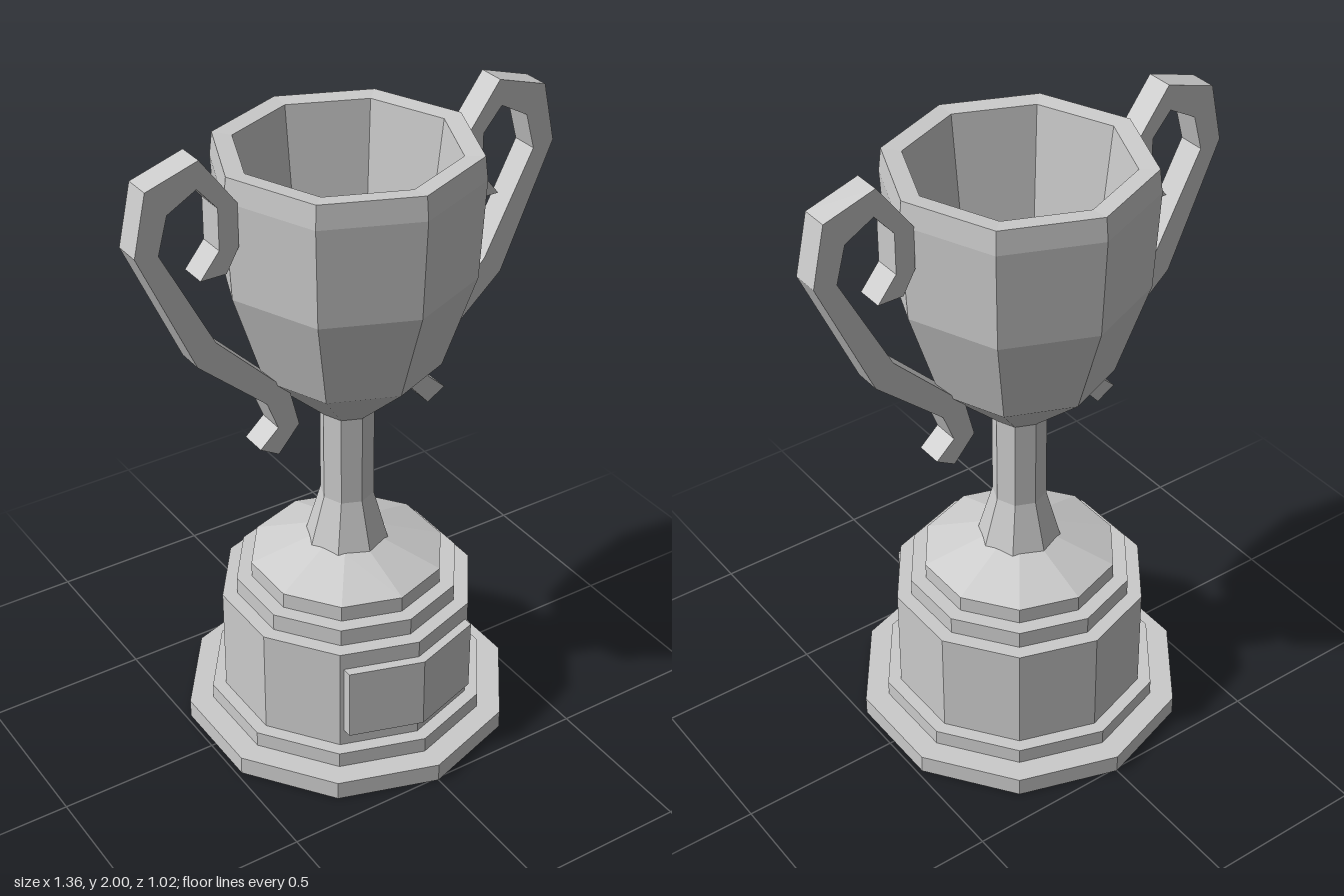
import * as THREE from 'three';

export function createModel() {
  const trophy = new THREE.Group();
  trophy.name = 'trophy';
  const metal = new THREE.MeshStandardMaterial({ color: 0xcccccc, flatShading: true });

  const add = (name, geometry, parent = trophy) => {
    const mesh = new THREE.Mesh(geometry, metal);
    mesh.name = name;
    parent.add(mesh);
    return mesh;
  };
  const lathe = (points, sides) =>
    new THREE.LatheGeometry(points.map(([r, y]) => new THREE.Vector2(r, y)), sides);
  const outline = (points) => new THREE.Shape(points.map(([x, y]) => new THREE.Vector2(x, y)));

  // Ten-sided stepped plinth: name, radius, bottom, top
  const tiers = [
    ['footPlate', 0.51, 0, 0.06],
    ['footTrim', 0.435, 0.06, 0.11],
    ['plinthBody', 0.393, 0.11, 0.455],
    ['plinthStep', 0.347, 0.455, 0.51],
  ];
  for (const [name, radius, bottom, top] of tiers) {
    const tier = add(name, new THREE.CylinderGeometry(radius, radius, top - bottom, 10));
    tier.position.y = (bottom + top) / 2;
  }
  add('plinthCap', lathe([[0, 0.51], [0.3, 0.51], [0.3, 0.56], [0.12, 0.625], [0, 0.625]], 10));

  // Plaque folded around the front corner of the plinth
  const fold = 0.22 * Math.tan(Math.PI / 10);
  const plaque = new THREE.ExtrudeGeometry(
    outline([[-0.22, 0.423 - fold], [-0.22, 0.38 - fold], [0, 0.38], [0.22, 0.38 - fold], [0.22, 0.423 - fold], [0, 0.423]]),
    { depth: 0.235, bevelEnabled: false });
  plaque.rotateX(Math.PI / 2); // outline lies flat, thickness runs down
  plaque.translate(0, 0.4, 0);
  add('plaque', plaque);

  // Flared stem
  add('stem', lathe([[0, 0.61], [0.13, 0.61], [0.082, 0.78], [0.082, 1.08], [0, 1.08]], 8));

  // Hollow eight-sided bowl: outside, rim, then inside
  add('bowl', lathe([
    [0, 1.07], [0.08, 1.07], [0.277, 1.25], [0.372, 1.54], [0.388, 1.84], [0.38, 1.91],
    [0.322, 1.905], [0.28, 1.55], [0.13, 1.3], [0, 1.24],
  ], 8));

  // Scrolled handles, mirrored by half a turn
  const handleOutline = outline([
    [0.49, 1.65], [0.41, 1.65], [0.37, 1.72], [0.37, 1.85], [0.48, 2.0], [0.64, 1.95],
    [0.68, 1.77], [0.51, 1.39], [0.295, 1.2], [0.26, 1.11], [0.32, 1.055], [0.26, 1.02],
    [0.19, 1.1], [0.22, 1.22], [0.45, 1.45], [0.61, 1.76], [0.58, 1.87], [0.49, 1.92],
    [0.43, 1.85], [0.43, 1.725],
  ]);
  const handle = new THREE.ExtrudeGeometry(handleOutline, { depth: 0.084, bevelEnabled: false });
  handle.translate(0, 0, -0.042);
  add('leftHandle', handle);
  add('rightHandle', handle).rotation.y = Math.PI;

  return trophy;
}
